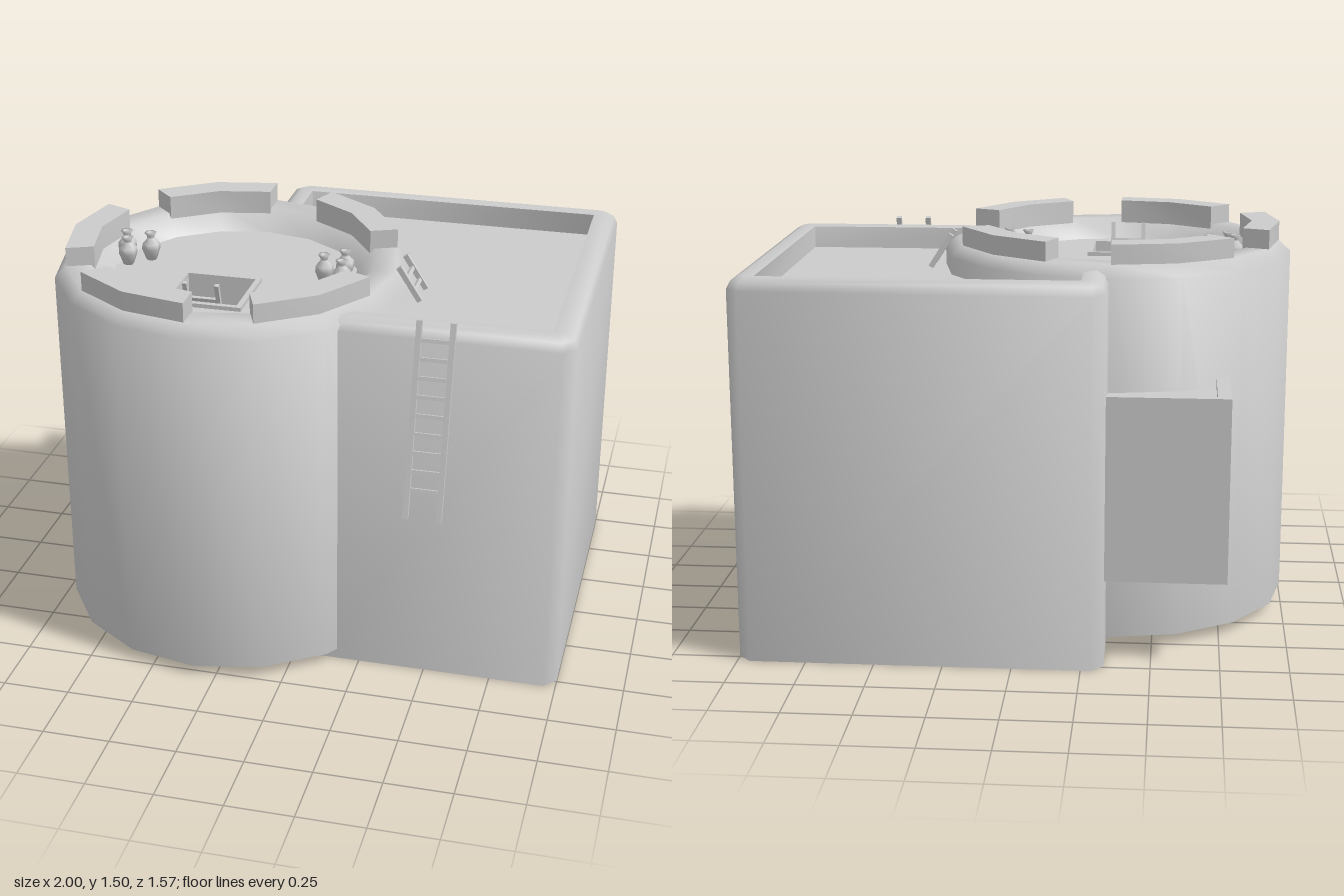
import * as THREE from 'three';
import { toCreasedNormals } from 'three/addons/utils/BufferGeometryUtils.js';

const mat = new THREE.MeshStandardMaterial({ color: 0xcccccc, side: THREE.DoubleSide });

function add(parent, name, geometry, x = 0, y = 0, z = 0) {
  const m = new THREE.Mesh(geometry, mat);
  m.name = name;
  m.position.set(x, y, z);
  parent.add(m);
  return m;
}

// Box given by its two extreme corners
function block(parent, name, x0, y0, z0, x1, y1, z1) {
  return add(parent, name, new THREE.BoxGeometry(x1 - x0, y1 - y0, z1 - z0),
    (x0 + x1) / 2, (y0 + y1) / 2, (z0 + z1) / 2);
}

// Skin over rows of equally many points
function skin(rows) {
  const pos = rows.flat(2), idx = [], n = rows[0].length;
  for (let j = 0; j < rows.length - 1; j++)
    for (let i = 0; i < n - 1; i++) {
      const a = j * n + i, b = a + n;
      idx.push(a, b, a + 1, a + 1, b, b + 1);
    }
  const g = new THREE.BufferGeometry();
  g.setAttribute('position', new THREE.Float32BufferAttribute(pos, 3));
  g.setIndex(idx);
  return toCreasedNormals(g, 1.0);
}

// Leaning ladder between two points, rungs along x or z
function ladder(parent, name, bottom, top, width, axis, rungs, thick = 0.02) {
  const a = new THREE.Vector3(...bottom), dir = new THREE.Vector3(...top).sub(a);
  const len = dir.length(), g = new THREE.Group();
  g.name = name;
  g.position.copy(a);
  g.quaternion.setFromUnitVectors(new THREE.Vector3(0, 1, 0), dir.normalize());
  for (const s of [-0.5, 0.5]) {
    const r = add(g, 'rail', new THREE.BoxGeometry(thick, len, thick), 0, len / 2, 0);
    r.position[axis] = s * width;
  }
  for (const t of rungs) {
    const rung = axis === 'x' ? [width, 0.014, 0.012] : [0.012, 0.014, width];
    add(g, 'rung', new THREE.BoxGeometry(...rung), 0, t * len, 0);
  }
  parent.add(g);
}

export function createModel() {
  const model = new THREE.Group();
  model.name = 'building';

  // Square house: open wall with chamfered corners and a rounded parapet
  const outline = (d, y) => {
    const x0 = -0.33 + d, x1 = 1 - d, z0 = -0.79 + d, z1 = 0.54 - d;
    const c = 0.045 * (1 - d / 0.09) + 0.001;
    return [[0.08, z1], [x1 - c, z1], [x1, z1 - c], [x1, z0 + c], [x1 - c, z0],
      [x0 + c, z0], [x0, z0 + c], [x0, -0.52]].map(([x, z]) => [x, y, z]);
  };
  const levels = [[0, 0], [0, 1.365], [0.015, 1.395], [0.045, 1.41], [0.09, 1.405], [0.09, 1.32]];
  add(model, 'houseWall', skin(levels.map(([d, y]) => outline(d, y)).reverse()));
  add(model, 'houseRoof', new THREE.PlaneGeometry(1.15, 1.16).rotateX(-Math.PI / 2), 0.335, 1.32, -0.12);

  // Round tower: sixteen-sided wall with a sloping inner rim
  const tower = new THREE.Group();
  tower.name = 'tower';
  tower.position.set(-0.335, 0, 0.115);
  model.add(tower);
  const profile = [[0.665, 0.04], [0.665, 1.385], [0.62, 1.428], [0.53, 1.428], [0.465, 1.35]]
    .map(([x, y]) => new THREE.Vector2(x, y));
  add(tower, 'towerWall', toCreasedNormals(new THREE.LatheGeometry(profile, 16), 0.9));

  const polar = (r, k) => new THREE.Vector2(r * Math.cos(k * Math.PI / 8), r * Math.sin(k * Math.PI / 8));

  // Tower floor with a hatch opening
  const floor = new THREE.Shape(Array.from({ length: 16 }, (_, k) => polar(0.468, k)));
  floor.holes.push(new THREE.Path([[-0.165, -0.295], [-0.165, -0.045], [0.095, -0.045], [0.095, -0.295]]
    .map(p => new THREE.Vector2(...p))));
  add(tower, 'towerFloor', new THREE.ShapeGeometry(floor).rotateX(-Math.PI / 2), 0, 1.35, 0);

  // Battlements, each two wall segments long
  for (const k of [1, 4, 7, 10, 13]) {
    const s = new THREE.Shape([polar(0.62, k), polar(0.62, k + 1), polar(0.62, k + 2),
      polar(0.515, k + 2), polar(0.515, k + 1), polar(0.515, k)]);
    const g = new THREE.ExtrudeGeometry(s, { depth: 0.09, bevelEnabled: false }).rotateX(-Math.PI / 2);
    add(tower, 'battlement', toCreasedNormals(g, 0.6), 0, 1.41, 0);
  }

  // Hatch shaft and its raised frame
  const hatch = new THREE.Group();
  hatch.name = 'hatch';
  model.add(hatch);
  block(hatch, 'shaftSide', -0.52, 1.1, 0.14, -0.50, 1.365, 0.43);
  block(hatch, 'shaftSide', -0.24, 1.1, 0.14, -0.22, 1.365, 0.43);
  block(hatch, 'shaftEnd', -0.50, 1.1, 0.14, -0.24, 1.365, 0.16);
  block(hatch, 'shaftEnd', -0.50, 1.1, 0.41, -0.24, 1.365, 0.43);
  block(hatch, 'shaftBottom', -0.52, 1.08, 0.14, -0.22, 1.1, 0.43);

  // Side annex with a low rim
  const annex = new THREE.Group();
  annex.name = 'annex';
  model.add(annex);
  block(annex, 'annexBody', -0.77, 0.32, -0.73, -0.32, 0.97, -0.36);
  block(annex, 'annexRim', -0.77, 0.97, -0.73, -0.72, 1.0, -0.36);
  block(annex, 'annexRim', -0.72, 0.97, -0.73, -0.32, 1.0, -0.70);

  // Ladders: outside, in the hatch, and from house roof to tower
  ladder(model, 'frontLadder', [0.515, 0.75, 0.72], [0.515, 1.435, 0.535], 0.12, 'x',
    Array.from({ length: 9 }, (_, i) => 0.15 + i * 0.094));
  ladder(model, 'hatchLadder', [-0.37, 1.1, 0.32], [-0.37, 1.44, 0.42], 0.12, 'x', [0.2, 0.4, 0.6, 0.8], 0.016);
  ladder(model, 'roofLadder', [0.375, 1.325, 0.06], [0.295, 1.45, 0.06], 0.12, 'z', [0.3, 0.65]);

  // Jars in two groups of three
  const jar = new THREE.LatheGeometry([[0, 0], [0.02, 0], [0.036, 0.045], [0.034, 0.065], [0.015, 0.085],
    [0.014, 0.093], [0.024, 0.108], [0.012, 0.108], [0, 0.095]].map(p => new THREE.Vector2(...p)), 6);
  for (const [x, z] of [[-0.785, 0.025], [-0.69, 0.025], [-0.76, 0.09],
    [0.07, 0.025], [0.005, 0.085], [0.08, 0.125]]) add(model, 'jar', jar, x, 1.35, z);

  return model;
}
